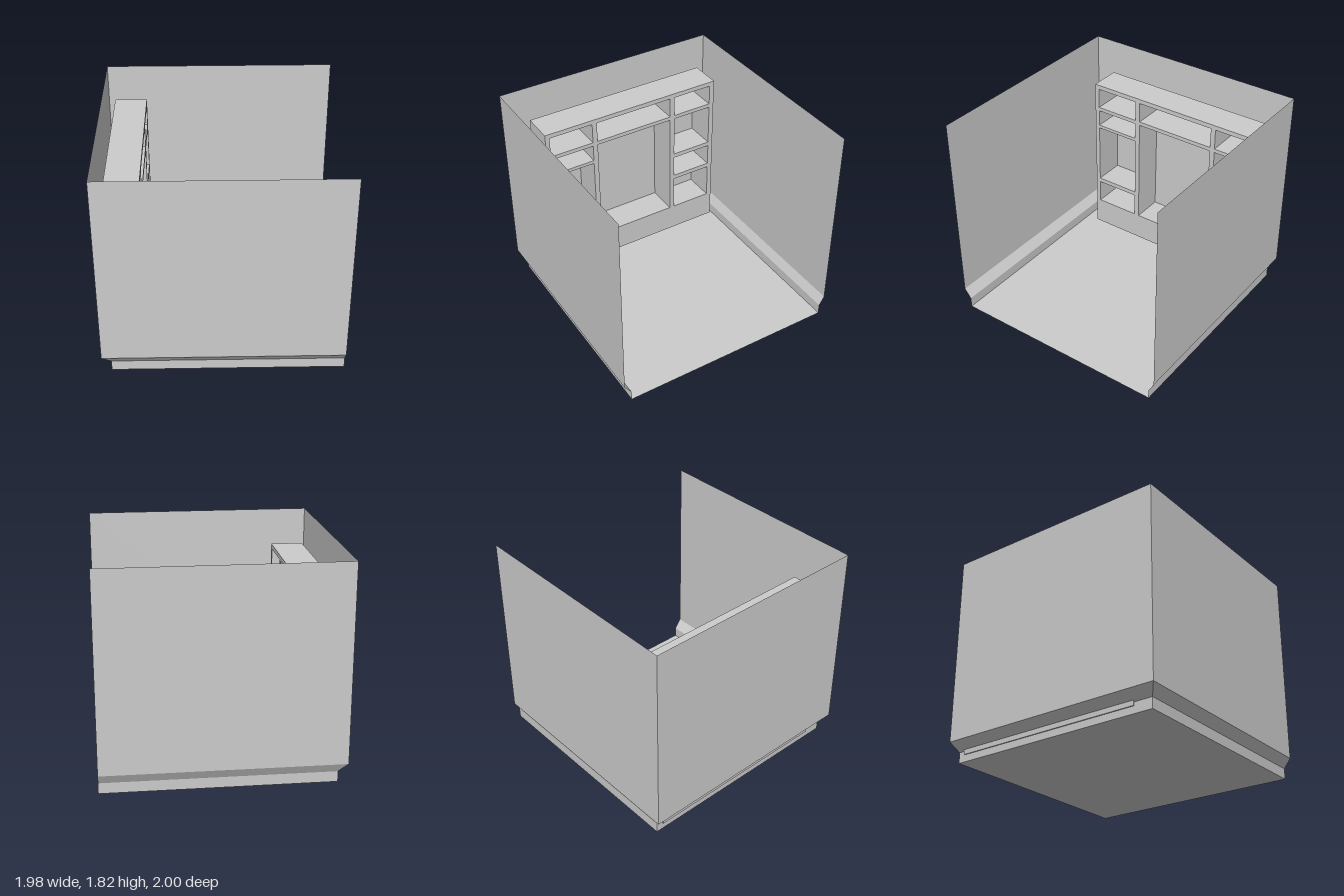
import * as THREE from 'three';

const material = new THREE.MeshStandardMaterial({ color: 0xcccccc, flatShading: true, side: THREE.DoubleSide });
const OPEN_X = 0.988; // open side of the room

function addMesh(group, name, geometry, x = 0, y = 0, z = 0) {
  const mesh = new THREE.Mesh(geometry, material);
  mesh.name = name;
  mesh.position.set(x, y, z);
  group.add(mesh);
  return mesh;
}

// Strip running round three sides of the room between two levels
function wallBand(low, high) {
  const corners = ({ x, y, front, back }) => [[OPEN_X, y, back], [x, y, back], [x, y, front], [OPEN_X, y, front]];
  const a = corners(low), b = corners(high);
  const points = [];
  for (let i = 0; i < 3; i++) {
    points.push(...a[i], ...a[i + 1], ...b[i + 1], ...a[i], ...b[i + 1], ...b[i]);
  }
  const geometry = new THREE.BufferGeometry();
  geometry.setAttribute('position', new THREE.Float32BufferAttribute(points, 3));
  geometry.computeVertexNormals();
  return geometry;
}

function rectanglePath(PathType, z0, z1, y0, y1) {
  return new PathType([[-z0, y0], [-z1, y0], [-z1, y1], [-z0, y1]].map(p => new THREE.Vector2(...p)));
}

function createRoom() {
  const room = new THREE.Group();
  room.name = 'room';
  const levels = [
    { y: 0, x: -0.915, front: 0.94, back: -0.955 },
    { y: 0.09, x: -0.915, front: 0.94, back: -0.955 },
    { y: 0.17, x: -0.988, front: 1, back: -1 },
    { y: 1.82, x: -0.988, front: 1, back: -1 },
  ];
  ['skirting', 'slopedLedge', 'walls'].forEach((name, i) => addMesh(room, name, wallBand(levels[i], levels[i + 1])));

  const { x, front, back } = levels[0];
  const floor = new THREE.PlaneGeometry(OPEN_X - x, front - back).rotateX(-Math.PI / 2);
  addMesh(room, 'floor', floor, (OPEN_X + x) / 2, 0, (front + back) / 2);
  return room;
}

function createCabinet() {
  const cabinet = new THREE.Group();
  cabinet.name = 'shelfCabinet';
  const backX = -0.925, frontX = -0.645, panel = 0.004;
  const left = 0.78, right = -0.895, bottom = 0.06, top = 1.545;
  const depth = frontX - backX - panel, midX = (frontX + backX + panel) / 2;
  const bay = [0.295, -0.435], baseTop = 0.305;

  // Carcass with a tall central bay open at the bottom
  const outline = new THREE.Shape([
    [left, bottom], [bay[0], bottom], [bay[0], 1.285], [bay[1], 1.285],
    [bay[1], bottom], [right, bottom], [right, top], [left, top],
  ].map(([z, y]) => new THREE.Vector2(-z, y)));

  // Cubby holes: z from, z to, then pairs of y from, y to
  const columns = [
    [0.74, 0.34, [[1.32, 1.505], [0.555, 1.285], [0.305, 0.515]]],
    [...bay, [[1.32, 1.505]]],
    [-0.48, -0.85, [[1.32, 1.505], [0.905, 1.285], [0.665, 0.865], [0.305, 0.625]]],
  ];
  for (const [z0, z1, rows] of columns) {
    for (const [y0, y1] of rows) outline.holes.push(rectanglePath(THREE.Path, z0, z1, y0, y1));
  }
  const carcass = new THREE.ExtrudeGeometry(outline, { depth, bevelEnabled: false }).rotateY(Math.PI / 2);
  addMesh(cabinet, 'carcass', carcass, backX + panel);

  // Back panel, base of the central bay and the thin shelf
  addMesh(cabinet, 'backPanel', new THREE.BoxGeometry(panel, top - bottom, left - right),
    backX + panel / 2, (top + bottom) / 2, (left + right) / 2);
  addMesh(cabinet, 'bayBase', new THREE.BoxGeometry(depth, baseTop - bottom, bay[0] - bay[1]),
    midX, (baseTop + bottom) / 2, (bay[0] + bay[1]) / 2);
  addMesh(cabinet, 'thinShelf', new THREE.BoxGeometry(depth, 0.03, 0.4), midX, 1.12, 0.54);
  return cabinet;
}

export function createModel() {
  const model = new THREE.Group();
  model.name = 'roomWithCabinet';
  model.add(createRoom(), createCabinet());
  return model;
}
